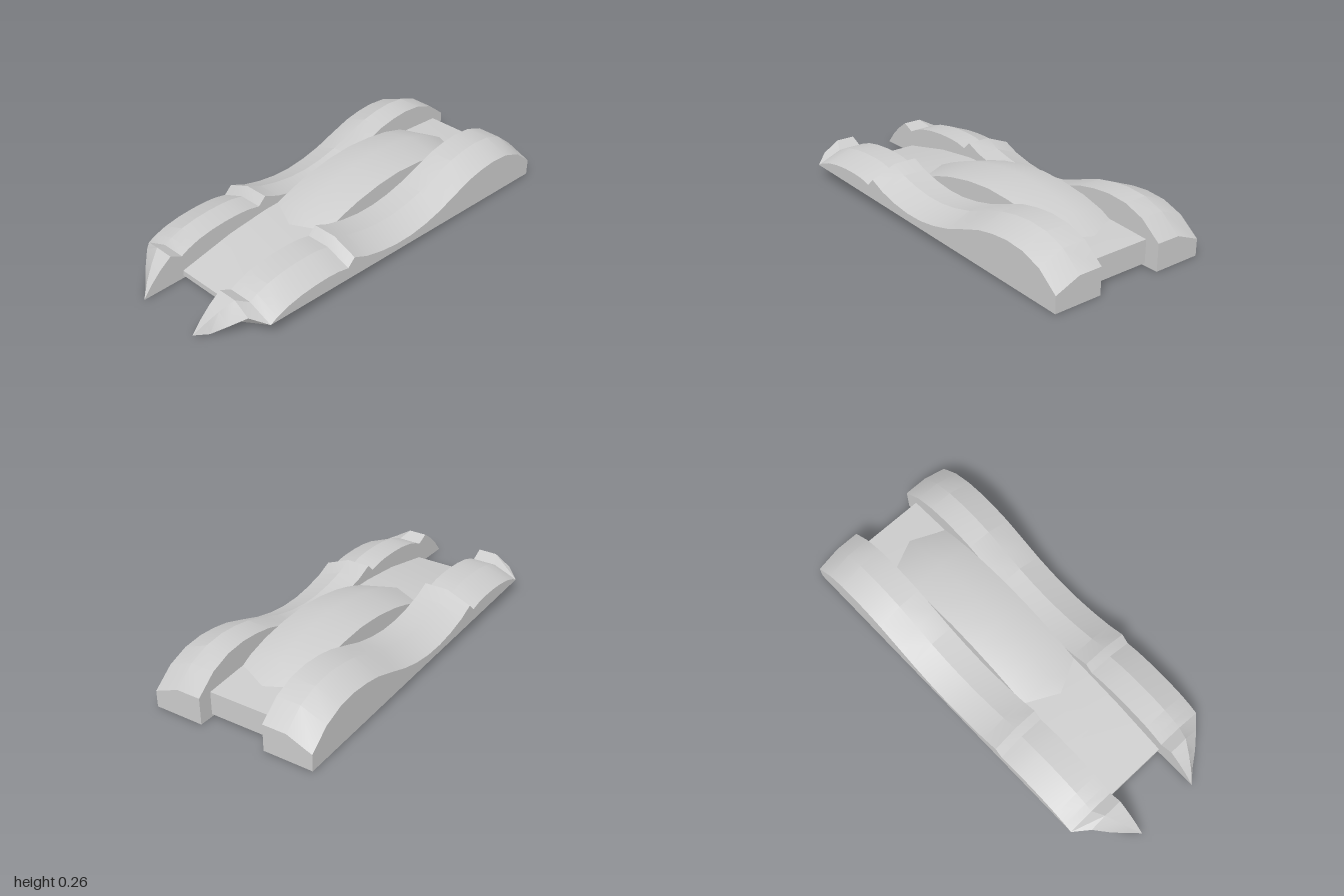
import * as THREE from 'three';
import { toCreasedNormals } from 'three/addons/utils/BufferGeometryUtils.js';

const material = new THREE.MeshStandardMaterial({ color: 0xcccccc });

// Skins cross-sections (counter-clockwise from the front, ordered front to back) and caps both ends
function loft(sections, crease) {
  const pos = [];
  const tri = (a, b, c) => {
    const [p, q, r] = [a, b, c].map((v) => new THREE.Vector3(...v));
    if (q.sub(p).cross(r.sub(p)).length() > 1e-7) pos.push(...a, ...b, ...c);
  };
  const n = sections[0].length;
  for (let i = 0; i < sections.length - 1; i++) {
    for (let j = 0; j < n; j++) {
      const k = (j + 1) % n;
      const s = sections[i], t = sections[i + 1];
      tri(s[j], t[j], t[k]);
      tri(s[j], t[k], s[k]);
    }
  }
  const first = sections[0], last = sections[sections.length - 1];
  for (let j = 1; j < n - 1; j++) {
    tri(first[0], first[j], first[j + 1]);
    tri(last[0], last[j + 1], last[j]);
  }
  const g = new THREE.BufferGeometry();
  g.setAttribute('position', new THREE.Float32BufferAttribute(pos, 3));
  return toCreasedNormals(g, crease);
}

function part(name, geometry) {
  const mesh = new THREE.Mesh(geometry, material);
  mesh.name = name;
  return mesh;
}

const IN = 0.165, BEND = 0.285, OUT = 0.41;

// Fender crown heights along its length: [z, y]
const crown = [
  [0.78, 0.12], [0.74, 0.14], [0.68, 0.16], [0.6, 0.174], [0.52, 0.18], [0.44, 0.18],
  [0.38, 0.175], [0.32, 0.162], [0.28, 0.2], [0.2, 0.165], [0.1, 0.14], [0, 0.126],
  [-0.1, 0.125], [-0.2, 0.137], [-0.3, 0.16], [-0.4, 0.195], [-0.52, 0.235],
  [-0.61, 0.251], [-0.7, 0.257], [-0.8, 0.247], [-0.9, 0.21], [-1, 0.13],
];

// Pointed nose: [z, crown y, bend x, outer x, outer y]
const nose = [
  [1, 0, IN, IN, 0], [0.95, 0.06, 0.2, 0.22, 0.01],
  [0.9, 0.107, 0.228, 0.28, 0.055], [0.84, 0.15, 0.26, 0.34, 0.1],
];

function fenderSections() {
  // The flat underside narrows towards the nose; outside it the floor rises
  const diagonal = (z) => OUT - (OUT - IN) * (z + 1) / 2;
  const section = (z, top, bend, out, outY, floorY) => [
    [IN, 0, z], [diagonal(z), 0, z], [out, floorY, z],
    [out, outY, z], [bend, top, z], [IN, top, z],
  ];
  return [
    ...nose.map(([z, y, b, o, oy]) => section(z, y, b, o, oy, oy)),
    ...crown.map(([z, y]) => section(z, y, BEND, OUT, y - 0.05, 0.07 * (z + 1) / 1.78)),
  ];
}

export function createModel() {
  const model = new THREE.Group();
  model.name = 'lowVehicleBody';

  // Left and right fenders
  const left = fenderSections();
  const right = left.map((s) => s.map(([x, y, z]) => [-x, y, z]).reverse());
  model.add(part('leftFender', loft(left, 0.37)), part('rightFender', loft(right, 0.37)));

  // Central floor plate
  const plate = [[0.78, 0.04], [0.5, 0.1], [0.28, 0.125], [-0.3, 0.14], [-0.73, 0.14], [-0.93, 0.125]]
    .map(([z, y]) => [[-IN, 0.013, z], [IN, 0.013, z], [IN, y, z], [-IN, y, z]]);
  model.add(part('centrePlate', loft(plate, 0.4)));

  // Ridged canopy arching over the plate
  const canopy = [
    [0.3, 0.118], [0.2, 0.163], [0.1, 0.2], [0, 0.228], [-0.14, 0.253], [-0.28, 0.263],
    [-0.42, 0.254], [-0.55, 0.234], [-0.66, 0.202], [-0.78, 0.14], [-0.82, 0.115],
  ].map(([z, y]) => [[-IN, 0.06, z], [IN, 0.06, z], [IN, y - 0.035, z], [0, y, z], [-IN, y - 0.035, z]]);
  model.add(part('canopy', loft(canopy, 0.5)));

  return model;
}
